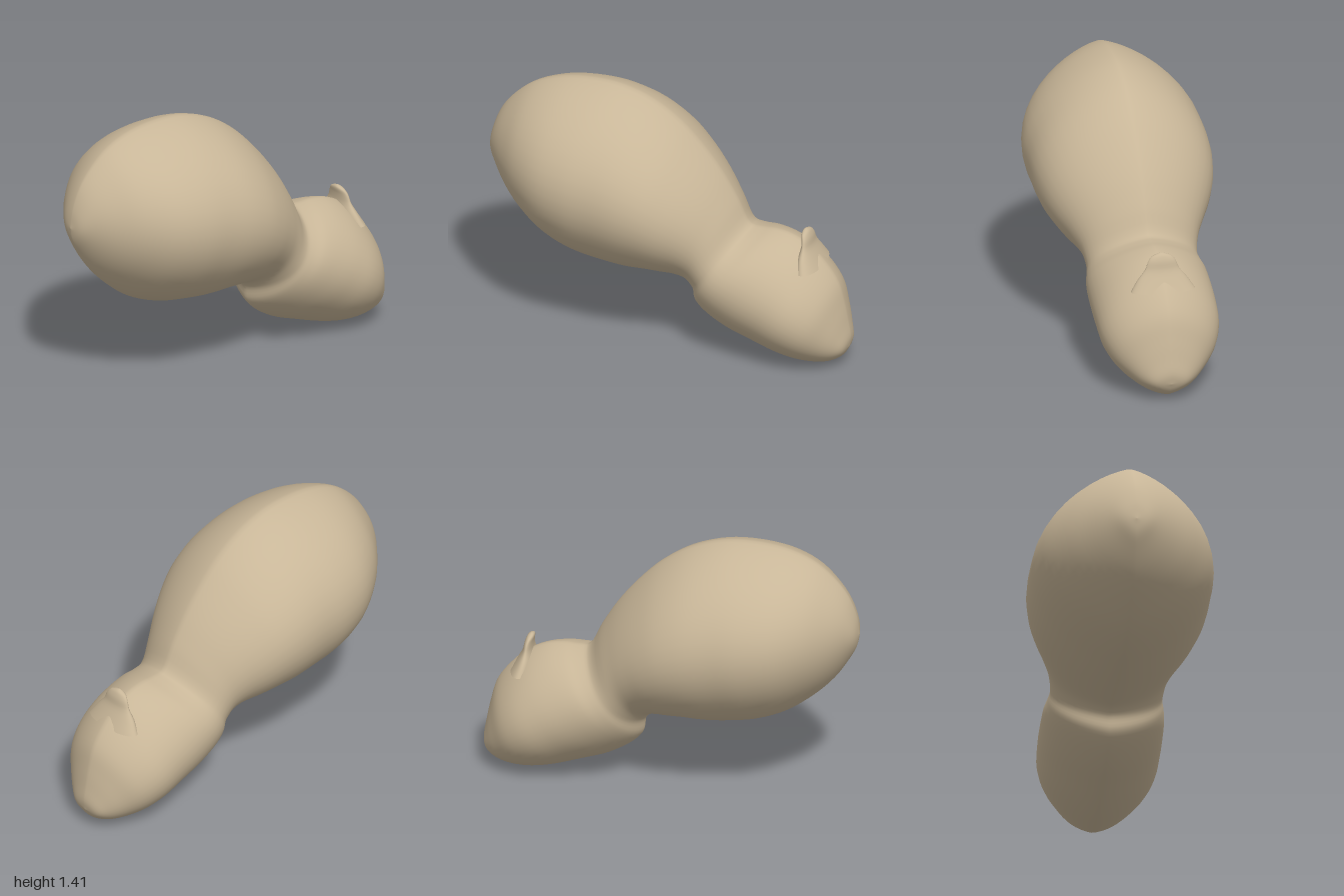
import * as THREE from 'three';

const SIDES = 48;

// Lofts a closed skin through sections: [topX, topY, bottomX, bottomY, halfWidth]
function loft(sections, steps, pinch, material, name) {
  const ends = new THREE.CatmullRomCurve3(sections.map(s => new THREE.Vector3(s[0], s[1], s[4])), false, 'centripetal');
  const lows = new THREE.CatmullRomCurve3(sections.map(s => new THREE.Vector3(s[2], s[3], s[4])), false, 'centripetal');
  const rings = (sections.length - 1) * steps;
  const pos = [], index = [];
  for (let i = 0; i <= rings; i++) {
    const top = ends.getPoint(i / rings), low = lows.getPoint(i / rings);
    const width = Math.max(0, (top.z + low.z) / 2);
    for (let j = 0; j < SIDES; j++) {
      const a = (j / SIDES) * Math.PI * 2;
      const k = (1 + Math.cos(a)) / 2, s = Math.sin(a);
      pos.push(low.x + (top.x - low.x) * k, low.y + (top.y - low.y) * k,
        width * Math.sign(s) * Math.abs(s) ** pinch);
      if (i < rings) {
        const p = i * SIDES + j, q = i * SIDES + (j + 1) % SIDES;
        index.push(p, q, p + SIDES, q, q + SIDES, p + SIDES);
      }
    }
  }
  const geometry = new THREE.BufferGeometry();
  geometry.setAttribute('position', new THREE.Float32BufferAttribute(pos, 3));
  geometry.setIndex(index);
  geometry.computeVertexNormals();
  const mesh = new THREE.Mesh(geometry, material);
  mesh.name = name;
  return mesh;
}

export function createModel() {
  const group = new THREE.Group();
  group.name = 'blobCreature';
  const clay = new THREE.MeshStandardMaterial({ color: 0xc8b698 });
  clay.name = 'tan clay';

  // Large rounded body, narrowing at the neck into the lowered head
  const body = [
    [-1, 0.94, -1, 0.94, 0],
    [-0.985, 1.04, -0.985, 0.87, 0.065],
    [-0.94, 1.15, -0.95, 0.8, 0.13],
    [-0.86, 1.25, -0.87, 0.68, 0.23],
    [-0.75, 1.335, -0.76, 0.57, 0.34],
    [-0.6, 1.39, -0.62, 0.47, 0.43],
    [-0.43, 1.41, -0.47, 0.41, 0.47],
    [-0.27, 1.4, -0.33, 0.385, 0.475],
    [-0.1, 1.345, -0.2, 0.375, 0.473],
    [0.05, 1.25, -0.1, 0.38, 0.45],
    [0.17, 1.135, -0.02, 0.38, 0.41],
    [0.28, 1.0, 0.06, 0.38, 0.355],
    [0.37, 0.855, 0.11, 0.365, 0.31],
    [0.44, 0.725, 0.14, 0.33, 0.293],
    [0.5, 0.717, 0.15, 0.26, 0.302],
    [0.58, 0.72, 0.2, 0.2, 0.315],
    [0.67, 0.705, 0.32, 0.125, 0.32],
    [0.77, 0.655, 0.46, 0.075, 0.32],
    [0.86, 0.57, 0.6, 0.03, 0.31],
    [0.93, 0.47, 0.71, 0.006, 0.27],
    [0.965, 0.35, 0.82, 0.002, 0.2],
    [0.985, 0.25, 0.9, 0.02, 0.14],
    [0.998, 0.17, 0.96, 0.06, 0.08],
    [0.99, 0.11, 0.99, 0.11, 0],
  ];
  group.add(loft(body, 4, 1.45, clay, 'bodyAndHead'));

  // Small thin crest standing on the head
  const crest = [
    [0.72, 0.56, 0.85, 0.56, 0.17],
    [0.725, 0.62, 0.815, 0.62, 0.13],
    [0.738, 0.67, 0.79, 0.67, 0.09],
    [0.738, 0.71, 0.782, 0.71, 0.074],
    [0.734, 0.735, 0.772, 0.735, 0.055],
    [0.737, 0.748, 0.762, 0.748, 0.025],
    [0.748, 0.755, 0.748, 0.755, 0],
  ];
  group.add(loft(crest, 3, 1, clay, 'headCrest'));

  return group;
}
